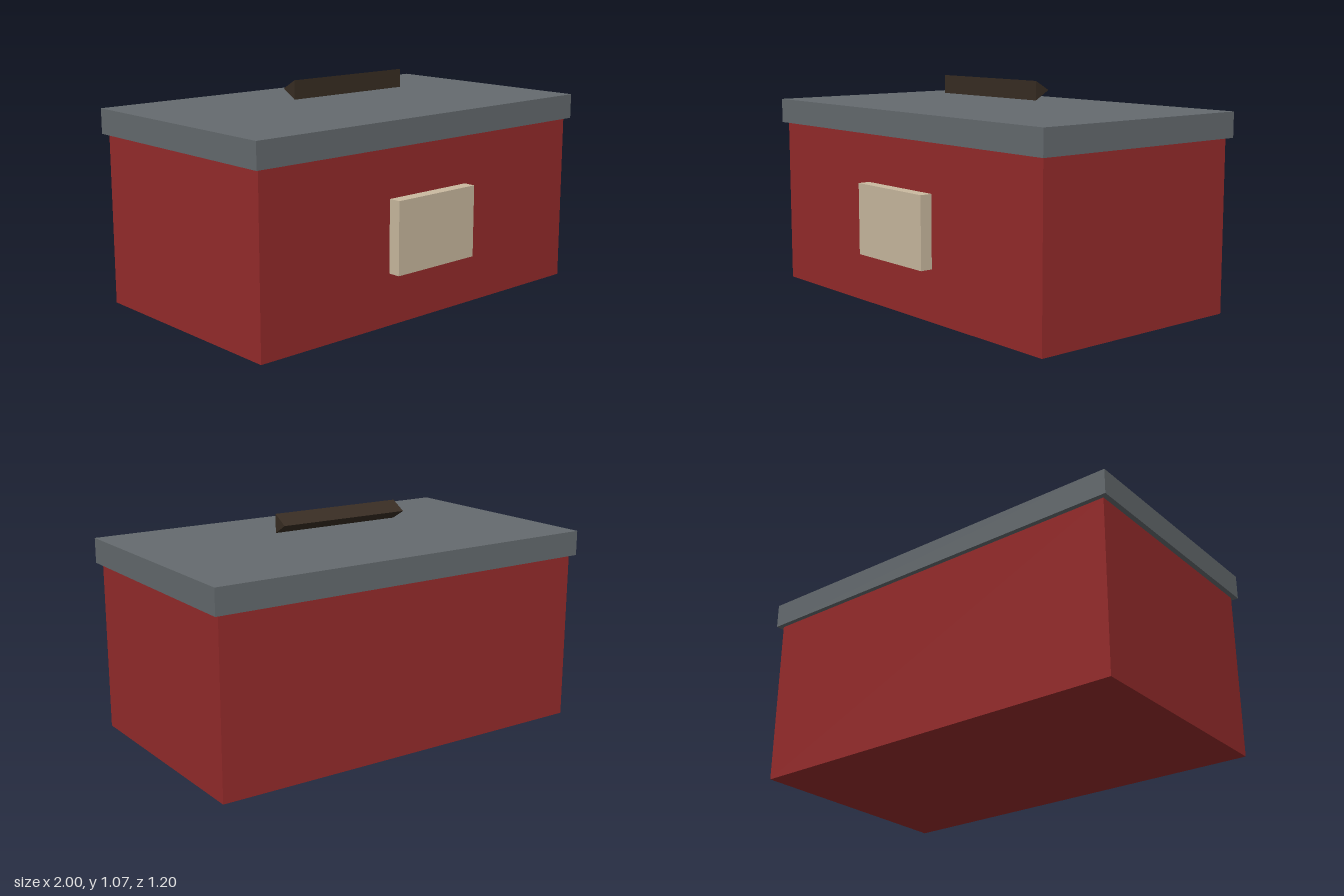
import * as THREE from 'three';

const mat = (name, color) => {
  const m = new THREE.MeshStandardMaterial({ color });
  m.name = name;
  return m;
};

export function createModel() {
  const group = new THREE.Group();
  group.name = 'lidded box';
  const red = mat('red', 0x962b2b);
  const grey = mat('slate grey', 0x656b6f);
  const cream = mat('cream', 0xcabaa0);
  const brown = mat('dark brown', 0x382d23);

  const add = (name, geometry, material, x, y, z) => {
    const mesh = new THREE.Mesh(geometry, material);
    mesh.name = name;
    mesh.position.set(x, y, z);
    group.add(mesh);
  };

  const midZ = -0.018; // centre of body, lid and handle

  // Body and overhanging lid
  add('body', new THREE.BoxGeometry(1.95, 0.82, 1.121), red, 0, 0.41, midZ);
  add('lid', new THREE.BoxGeometry(2, 0.12, 1.168), grey, 0, 0.88, midZ);

  // Raised plate on the front
  add('frontPlate', new THREE.BoxGeometry(0.488, 0.342, 0.062), cream, 0, 0.416, 0.571);

  // Three-sided bar above the lid, one edge pointing back
  const bar = new THREE.CylinderGeometry(0.052, 0.052, 0.682, 3, 1, false, Math.PI)
    .rotateZ(Math.PI / 2)
    .toNonIndexed();
  bar.computeVertexNormals();
  add('handle', bar, brown, 0, 1.026, midZ);

  return group;
}
